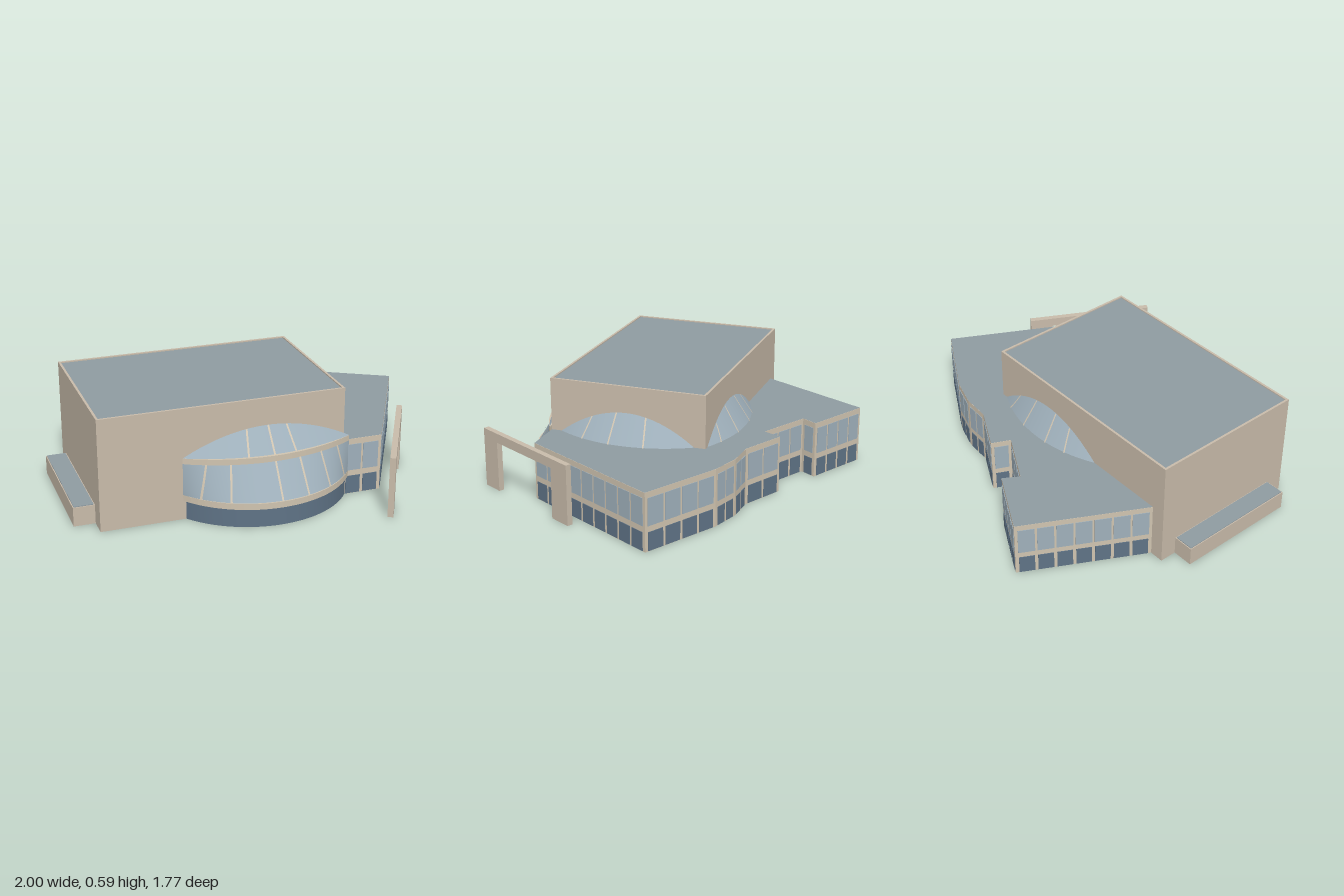
import * as THREE from 'three';

const mat = (name, color, side = THREE.FrontSide) => {
  const m = new THREE.MeshStandardMaterial({ color, side });
  m.name = name;
  return m;
};

export function createModel() {
  const model = new THREE.Group();
  model.name = 'building';
  const stone = mat('stone', 0xc8bbaa, THREE.DoubleSide);
  const roofGrey = mat('roofGrey', 0x8f9ba1, THREE.DoubleSide);
  const glass = mat('paleGlass', 0x9fb0bb, THREE.DoubleSide);
  const darkGlass = mat('darkGlass', 0x5f7386, THREE.DoubleSide);
  const trim = mat('trim', 0xd0c4b0, THREE.DoubleSide);

  const add = (parent, name, geo, material, x = 0, y = 0, z = 0) => {
    const m = new THREE.Mesh(geo, material);
    m.name = name;
    m.position.set(x, y, z);
    parent.add(m);
    return m;
  };
  const group = (name, x, z, turn) => {
    const g = new THREE.Group();
    g.name = name;
    g.position.set(x, 0, z);
    g.rotation.y = turn;
    model.add(g);
    return g;
  };
  // Plan outline given as [x, z] pairs
  const plan = (pts) => new THREE.Shape(pts.map(([x, z]) => new THREE.Vector2(x, -z)));
  const slab = (shape, h) =>
    new THREE.ExtrudeGeometry(shape, { depth: h, bevelEnabled: false }).rotateX(-Math.PI / 2);
  const rect = (x0, x1, z0, z1) => [[x0, z0], [x0, z1], [x1, z1], [x1, z0]];

  // Smooth sheet from a rule f(u, t) -> [x, y, z]
  const sheet = (f, u0, u1, nu = 32, nt = 6) => {
    const pos = [], idx = [];
    for (let j = 0; j <= nt; j++)
      for (let i = 0; i <= nu; i++) pos.push(...f(u0 + ((u1 - u0) * i) / nu, j / nt));
    for (let j = 0; j < nt; j++)
      for (let i = 0; i < nu; i++) {
        const a = j * (nu + 1) + i, b = a + nu + 1;
        idx.push(a, a + 1, b, a + 1, b + 1, b);
      }
    const g = new THREE.BufferGeometry();
    g.setAttribute('position', new THREE.Float32BufferAttribute(pos, 3));
    g.setIndex(idx);
    g.computeVertexNormals();
    return g;
  };
  // Bulge of a circular arc with half width h and depth d, at u in -1..1
  const bow = (u, h, d) => {
    if (d < 1e-4) return 0;
    const R = (h * h + d * d) / (2 * d);
    return Math.sqrt(R * R - u * u * h * h) - (R - d);
  };
  const arcSlab = (h, d, height) => {
    const pts = [];
    for (let i = 0; i <= 32; i++) pts.push([h * (i / 16 - 1), bow(i / 16 - 1, h, d)]);
    return slab(plan(pts), height);
  };
  const ribs = (parent, f, places, lean) => places.forEach((u) =>
    add(parent, 'glassRib', sheet((s, t) => {
      const [x, y, z] = f(u * (1 - lean * t) + s, t);
      return [x, y + 0.001, z + 0.004];
    }, -0.011, 0.011, 2, 8), trim));

  // Main hall: open-bottomed walls with a parapet around the roof
  const hall = plan(rect(-0.89, 0.38, -0.29, 0.555));
  hall.holes.push(plan(rect(-0.878, 0.368, -0.278, 0.543)));
  add(model, 'hallWalls', slab(hall, 0.587), stone);
  add(model, 'hallRoof', new THREE.BoxGeometry(1.247, 0.01, 0.822), roofGrey, -0.255, 0.576, 0.1325);

  // Low side block
  add(model, 'sideBlock', new THREE.BoxGeometry(0.11, 0.1, 0.655), stone, -0.945, 0.05, 0.1275);
  add(model, 'sideBlockRoof', new THREE.BoxGeometry(0.1, 0.006, 0.645), roofGrey, -0.945, 0.101, 0.1275);

  // Front rotunda: dark drum, leaning glass, bands and the arched glass above
  const H = 0.44;
  const front = group('rotundaFront', -0.03, 0.555, 0);
  add(front, 'drum', sheet((u, t) => [u * 0.425, 0.1 * t, bow(u, 0.425, 0.213)], -1, 1, 40, 1), darkGlass);
  add(front, 'lowerBand', arcSlab(H, 0.228, 0.032), trim, 0, 0.1, 0);
  const lean = (u, t) => [u * H, 0.13 + 0.17 * t, bow(u, H, 0.222 - 0.112 * t)];
  add(front, 'leaningGlass', sheet(lean, -1, 1, 40), glass);
  ribs(front, lean, [-0.85, -0.56, 0, 0.33, 0.64, 0.9], 0.1);
  add(front, 'upperBand', arcSlab(H, 0.116, 0.03), trim, 0, 0.298, 0);
  const archOf = (h, y, rise, depth) => (u, t) => {
    const top = rise * (1 - u * u);
    return [u * h, y + top * t, bow(u, h, depth) * (1 - t)];
  };
  const frontArch = archOf(H, 0.328, 0.117, 0.1);
  add(front, 'archedGlass', sheet(frontArch, -1, 1), glass);
  ribs(front, frontArch, [-0.3, 0, 0.26], 0.15);

  // Rotunda bulges on the side and back of the hall
  [['rotundaSide', 0.38, 0.135, Math.PI / 2, 0.37, 0.108, [-0.6, -0.17, 0.34]],
    ['rotundaBack', -0.015, -0.29, Math.PI, 0.37, 0.093, [-0.75, -0.3, 0.2, 0.55]],
  ].forEach(([name, x, z, turn, h, d, places]) => {
    const g = group(name, x, z, turn);
    const f = archOf(h, 0.3, 0.145, d);
    add(g, 'archedGlass', sheet(f, -1, 1), glass);
    ribs(g, f, places, 0.15);
  });

  // Two-storey wing: roof sheet and a glazed wall along every outer edge
  const outline = [[-0.815, -0.29], [-0.49, -0.89], [-0.17, -0.72], [-0.22, -0.64], [0.04, -0.5],
    [0.085, -0.595], [0.305, -0.48], [0.455, -0.47], [0.61, -0.42], [0.995, -0.2],
    [0.59, 0.555], [0.38, 0.555]];
  const wingRoof = new THREE.ShapeGeometry(plan([...outline, [0.38, -0.29]])).rotateX(-Math.PI / 2);
  add(model, 'wingRoof', wingRoof, roofGrey, 0, 0.305, 0);
  for (let i = 0; i < outline.length - 1; i++) {
    const [ax, az] = outline[i], [bx, bz] = outline[i + 1];
    const len = Math.hypot(ax - bx, az - bz);
    const wall = group('wingWall', (ax + bx) / 2, (az + bz) / 2, Math.atan2(bz - az, ax - bx));
    add(wall, 'wallPanel', new THREE.BoxGeometry(len, 0.304, 0.008), trim, 0, 0.152, -0.004);
    const n = Math.max(1, Math.round(len / 0.1));
    const pitch = (len - 0.02) / n;
    for (let k = 0; k < n; k++) {
      const x = (k - (n - 1) / 2) * pitch;
      add(wall, 'upperWindow', new THREE.BoxGeometry(pitch - 0.011, 0.143, 0.006), glass, x, 0.2025, 0);
      add(wall, 'lowerWindow', new THREE.BoxGeometry(pitch - 0.016, 0.097, 0.006), darkGlass, x, 0.051, 0);
    }
  }

  // Freestanding entrance portal, parallel to the wing's long wall
  const portal = group('portal', 0.67, 0.565, Math.atan2(0.88, 0.475));
  const gate = new THREE.Shape([[-0.35, 0], [-0.235, 0], [-0.235, 0.27], [0.225, 0.27], [0.225, 0],
    [0.35, 0], [0.35, 0.32], [-0.35, 0.32]].map(([x, y]) => new THREE.Vector2(x, y)));
  add(portal, 'portalFrame', new THREE.ExtrudeGeometry(gate, { depth: 0.03, bevelEnabled: false }),
    stone, 0, 0, -0.015);

  return model;
}
